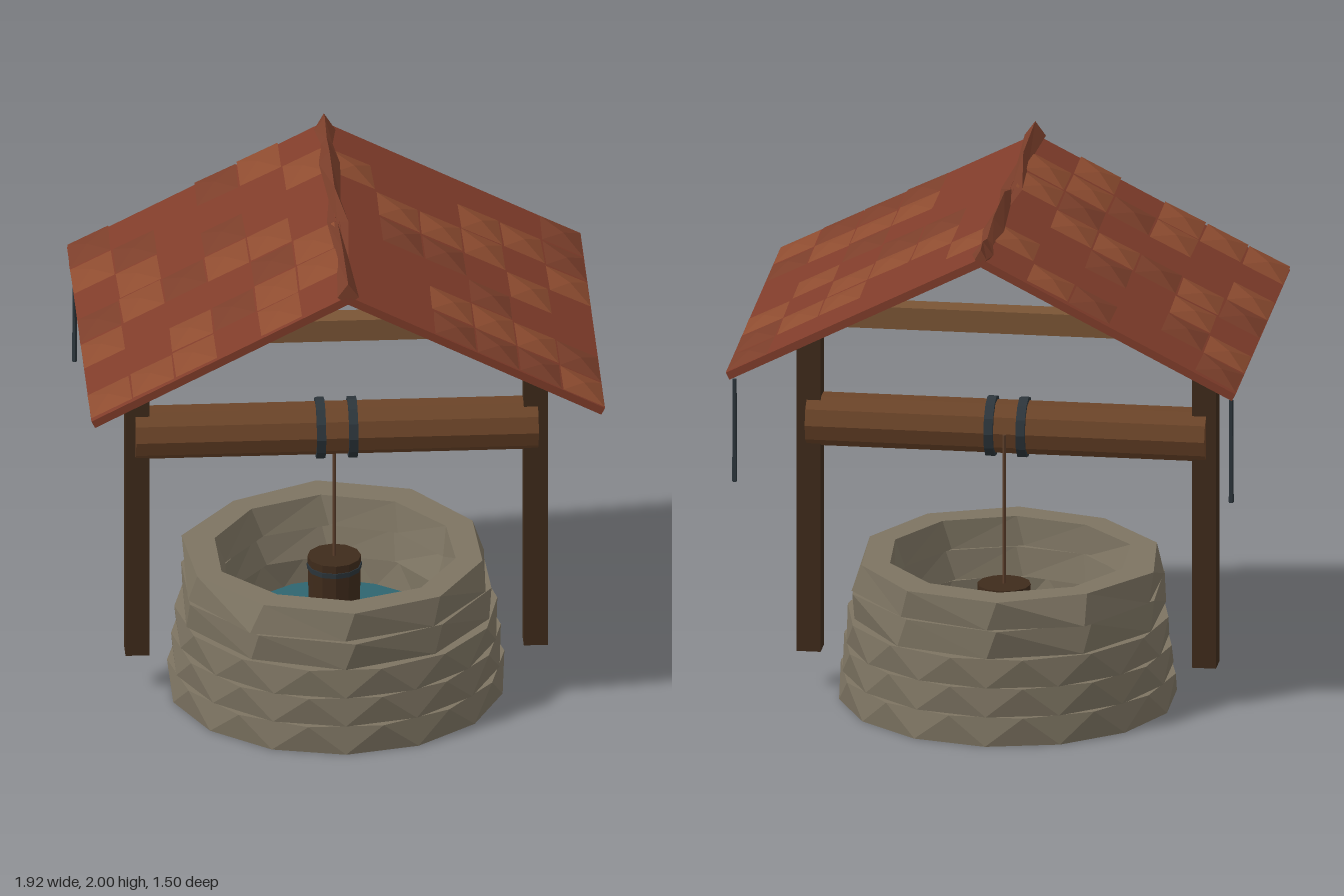
import * as THREE from 'three';

const mat = (color, side = THREE.FrontSide) =>
  new THREE.MeshStandardMaterial({ color, flatShading: true, side });
const stone = mat(0x7d7462), darkWood = mat(0x3f2b1b), beamWood = mat(0x7a5535), rollerWood = mat(0x6b4428);
const iron = mat(0x2c353b), ropeMat = mat(0x5a3d2a), water = mat(0x2f6570, THREE.DoubleSide);
const roofRed = mat(0x803c2a), tileMats = [mat(0x8e4c30), mat(0x7c3f2b)];

let seed = 7;
const rand = () => (seed = (seed * 16807) % 2147483647) / 2147483647 - 0.5;

function add(parent, name, geometry, material, x = 0, y = 0, z = 0) {
  const mesh = new THREE.Mesh(geometry, material);
  mesh.name = name;
  mesh.position.set(x, y, z);
  parent.add(mesh);
  return mesh;
}

// Joins equal-length closed rings of points with triangles
function skin(rings) {
  const n = rings[0].length, pos = [];
  for (let k = 0; k < rings.length - 1; k++) {
    const a = rings[k], b = rings[k + 1];
    for (let i = 0; i < n; i++) {
      const j = (i + 1) % n;
      pos.push(...a[i], ...a[j], ...b[i], ...b[i], ...a[j], ...b[j]);
    }
  }
  const g = new THREE.BufferGeometry();
  g.setAttribute('position', new THREE.Float32BufferAttribute(pos, 3));
  g.computeVertexNormals();
  return g;
}

// One stone course: the top ring is turned by part of a step, giving triangular facets
function course(n, turn, y0, y1, r0, r1, inner0, inner1, jitter) {
  const ring = (r, y, t, noise) => Array.from({ length: n }, (_, i) => {
    const angle = ((i + t) / n) * Math.PI * 2, q = r + noise * rand();
    return [q * Math.sin(angle), y, q * Math.cos(angle)];
  });
  const innerBottom = ring(inner0, y0, 0, 0.02);
  return skin([
    innerBottom,
    ring(r0, y0, 0, jitter),
    ring(r1, y1, turn, jitter),
    ring(inner1, y1, turn, 0.02),
    [...innerBottom.slice(1), innerBottom[0]],
  ]);
}

function buildWall() {
  const wall = new THREE.Group();
  wall.name = 'stoneWall';
  // The shaft narrows towards the water line
  const inner = [0.46, 0.425, 0.395, 0.405, 0.435, 0.46];
  [
    [14, 0.5, 0.63, 0.628, 0.004],
    [14, 0.5, 0.617, 0.616, 0.004],
    [14, 0.5, 0.605, 0.604, 0.006],
    [10, 0.1, 0.59, 0.595, 0.03],
    [10, 0.1, 0.585, 0.57, 0.035],
  ].forEach(([n, turn, r0, r1, jitter], i) => add(wall, 'stoneCourse',
    course(n, turn, i * 0.11, (i + 1) * 0.11, r0, r1, inner[i], inner[i + 1], jitter), stone));
  return wall;
}

// Tile layout per slope: rows run from back to front, columns from eave to ridge
const layouts = {
  '-1': ['x..xx.', 'xx...x', '.x.x..', 'xxxxx.', 'x...xx', '..xxxx', 'xxx.x.'],
  '1': ['x.....', 'xxx..x', 'x.xxx.', '.x.xx.', '..x...', 'xxxx..', 'xxxx..'],
};

function buildSlope(side) {
  const slope = new THREE.Group();
  slope.name = side > 0 ? 'leftRoofSlope' : 'rightRoofSlope';
  const run = 0.95, drop = 0.485, length = Math.hypot(run, drop);
  slope.position.set(side * run / 2, 1.69, 0);
  slope.rotation.z = -side * Math.atan2(drop, run);
  add(slope, 'roofBoard', new THREE.BoxGeometry(length, 0.03, 1.5), roofRed);

  // Thin, faintly peaked tiles laid slightly unevenly
  const tileGeo = new THREE.ConeGeometry(Math.SQRT1_2, 1, 4, 1).rotateY(Math.PI / 4);
  layouts[side].forEach((row, r) => [...row].forEach((c, k) => {
    if (c !== 'x') return;
    const along = side * (length / 2 - (k + 0.5) * length / 6);
    const lift = side < 0 ? 0.032 : 0.025;
    const tile = add(slope, 'roofTile', tileGeo, tileMats[rand() > 0 ? 0 : 1], along, lift, (r - 3) * 0.2145);
    tile.scale.set(0.17, 0.016, 0.205);
    tile.rotation.set(rand() * 0.03, rand() * 0.05, side * (0.01 + rand() * 0.02));
  }));
  return slope;
}

// Uneven cap along the ridge
function buildRidge() {
  const sections = [
    [0.75, 2.0], [0.42, 1.985], [0.1, 1.945], [-0.09, 1.998],
    [-0.4, 1.998], [-0.57, 1.97], [-0.69, 1.998], [-0.75, 1.985],
  ].map(([z, top], i) => {
    const w = i % 2 ? 0.022 : 0.04;
    return [[-w, 1.945, z], [0, 1.915, z], [w, 1.945, z], [0, top, z]];
  });
  const end = (z) => Array.from({ length: 4 }, () => [0, 1.945, z]);
  return skin([end(0.75), ...sections, end(-0.75)].reverse());
}

export function createModel() {
  const well = new THREE.Group();
  well.name = 'well';
  well.add(buildWall());
  add(well, 'water', new THREE.CircleGeometry(0.4, 10).rotateX(-Math.PI / 2), water, 0, 0.23, 0);

  // Frame
  for (const s of [-1, 1]) add(well, 'post', new THREE.BoxGeometry(0.09, 1.28, 0.09), darkWood, s * 0.742, 0.79, 0);
  add(well, 'crossBeam', new THREE.BoxGeometry(1.66, 0.085, 0.09), beamWood, 0, 1.468, 0);

  // Windlass
  const roller = new THREE.CylinderGeometry(0.1, 0.1, 1.5, 10).rotateZ(Math.PI / 2);
  add(well, 'roller', roller, rollerWood, 0, 1.05, 0);
  const band = new THREE.CylinderGeometry(0.115, 0.115, 0.034, 12).rotateZ(Math.PI / 2);
  for (const s of [-1, 1]) add(well, 'rollerBand', band, iron, s * 0.06, 1.05, 0);

  // Rope and bucket
  add(well, 'rope', new THREE.CylinderGeometry(0.007, 0.007, 0.6, 6), ropeMat, 0, 0.75, -0.106);
  add(well, 'bucket', new THREE.CylinderGeometry(0.1, 0.095, 0.2, 12), darkWood, 0, 0.37, -0.106);
  add(well, 'bucketHoop', new THREE.CylinderGeometry(0.103, 0.102, 0.02, 12), iron, 0, 0.43, -0.106);

  // Roof
  for (const s of [-1, 1]) well.add(buildSlope(s));
  add(well, 'ridgeCap', buildRidge(), tileMats[1]);

  // Iron rods under the rear eaves
  for (const s of [-1, 1]) add(well, 'hangingRod', new THREE.CylinderGeometry(0.008, 0.01, 0.4, 5), iron, s * 0.932, 1.218, -0.69);
  return well;
}
